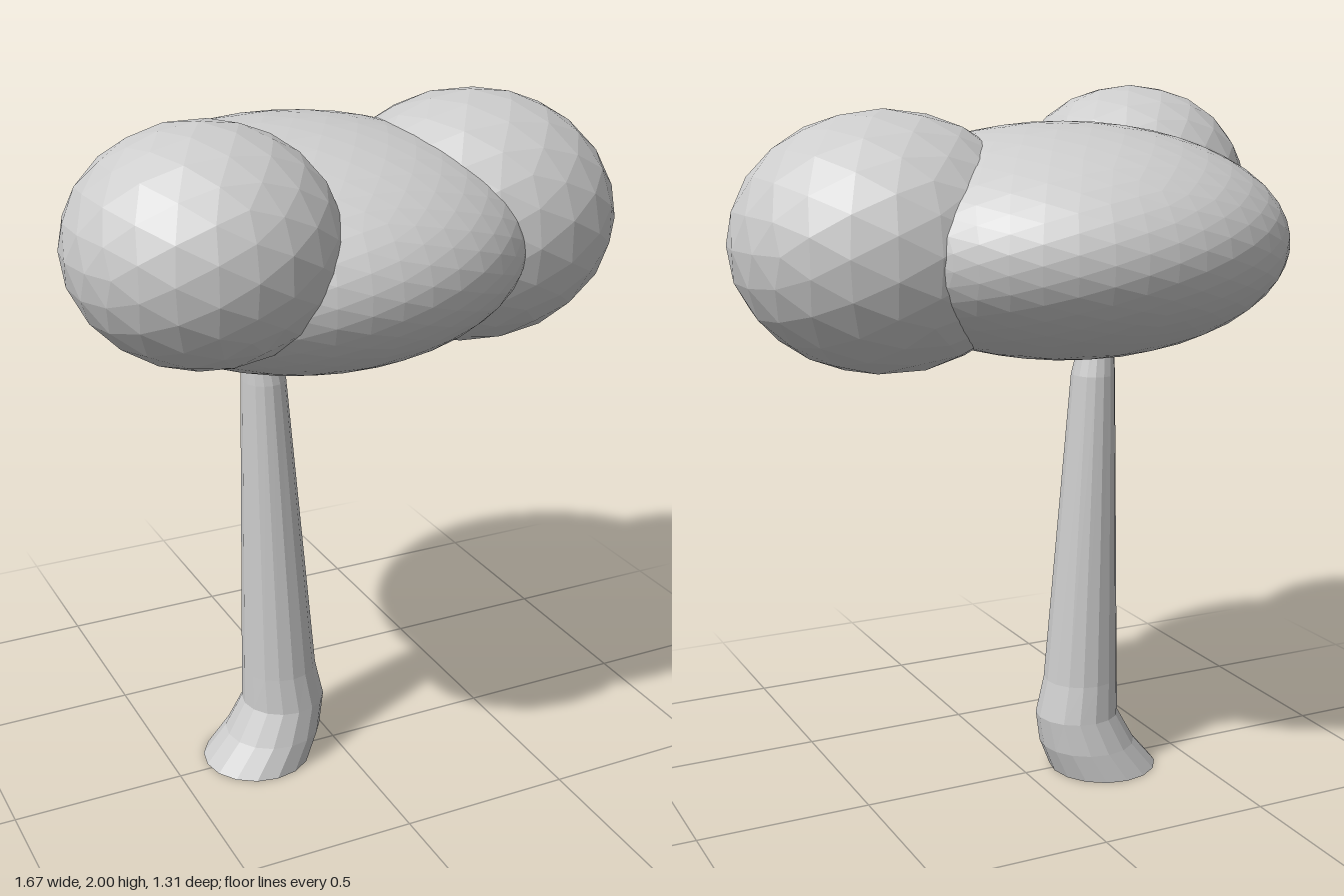
import * as THREE from 'three';

export function createModel() {
  const group = new THREE.Group();
  group.name = 'tree';
  const grey = new THREE.MeshStandardMaterial({ color: 0xcccccc, flatShading: true, side: THREE.DoubleSide });
  grey.name = 'plainGrey';

  // Foliage: squashed icospheres
  function blob(name, detail, center, radii) {
    const mesh = new THREE.Mesh(new THREE.IcosahedronGeometry(1, detail), grey);
    mesh.name = name;
    mesh.position.set(...center);
    mesh.scale.set(...radii);
    group.add(mesh);
  }
  blob('mainCanopy', 7, [-0.1, 1.588, -0.027], [0.625, 0.323, 0.63]);
  blob('leftFoliage', 3, [0.415, 1.6, 0], [0.42, 0.35, 0.393]);
  blob('rightFoliage', 3, [-0.493, 1.7, 0.3], [0.346, 0.3, 0.35]);

  // Trunk: open tube through rings of [y, min x, max x, half depth]
  const rings = [
    [0, -0.405, -0.085, 0.16],
    [0.085, -0.333, -0.05, 0.142],
    [0.18, -0.28, -0.035, 0.121],
    [0.29, -0.278, -0.06, 0.109],
    [1.2, -0.265, -0.14, 0.067],
    [1.3, -0.262, -0.165, 0.05],
  ];
  const sides = 16;
  const geo = new THREE.CylinderGeometry(1, 1, 1, sides, rings.length - 1, true);
  const pos = geo.attributes.position;
  for (let i = 0; i < pos.count; i++) {
    const row = rings.length - 1 - Math.floor(i / (sides + 1));
    const [y, x0, x1, rz] = rings[row];
    pos.setXYZ(i, (x0 + x1) / 2 + pos.getX(i) * (x1 - x0) / 2, y, -0.023 + pos.getZ(i) * rz);
  }
  geo.computeVertexNormals();
  const trunk = new THREE.Mesh(geo, grey);
  trunk.name = 'trunk';
  group.add(trunk);

  return group;
}
